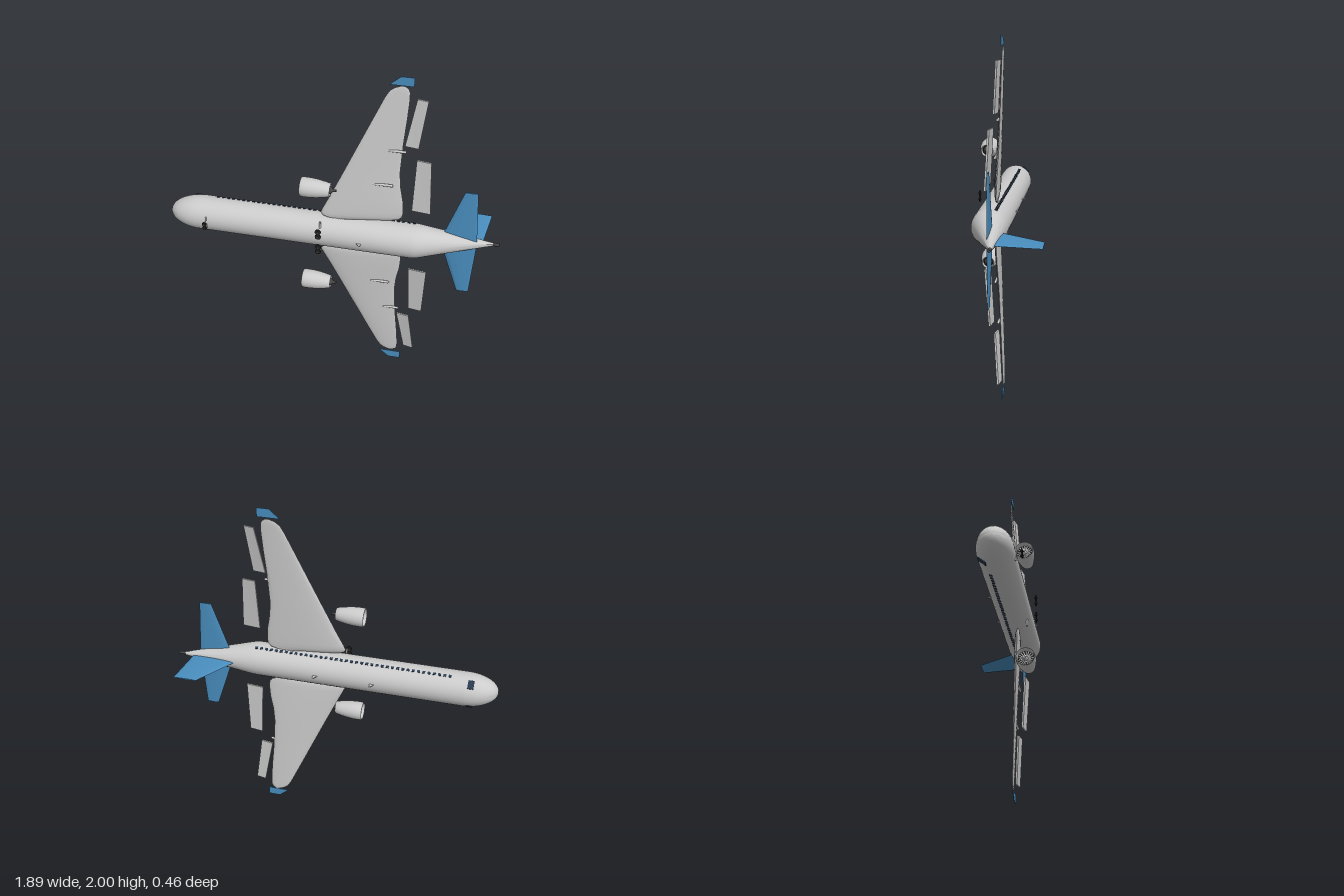
import * as THREE from 'three';
import { toCreasedNormals } from 'three/addons/utils/BufferGeometryUtils.js';

const mat = (color) => new THREE.MeshStandardMaterial({ color, side: THREE.DoubleSide });
const V = (x, y, z) => new THREE.Vector3(x, y, z);
const AXIS_Z = 0.085; // fuselage centre line; the belly faces +z, the roof -z

// Skin a list of equal-length rings and close both ends, facing outwards
function loft(rings, crease = 0.7) {
  const n = rings[0].length, pts = rings.flat(), idx = [];
  for (let i = 0; i < rings.length - 1; i++)
    for (let j = 0; j < n; j++) {
      const a = i * n + j, b = i * n + (j + 1) % n;
      idx.push(a, b, a + n, b, b + n, a + n);
    }
  [rings[0], rings[rings.length - 1]].forEach((ring, end) => {
    const c = pts.length, base = end ? (rings.length - 1) * n : 0;
    pts.push(ring.reduce((s, p) => s.add(p), V(0, 0, 0)).divideScalar(n));
    for (let j = 0; j < n; j++) {
      const a = base + j, b = base + (j + 1) % n;
      if (end) idx.push(c, a, b); else idx.push(c, b, a);
    }
  });
  let volume = 0;
  for (let i = 0; i < idx.length; i += 3)
    volume += pts[idx[i]].dot(V(0, 0, 0).crossVectors(pts[idx[i + 1]], pts[idx[i + 2]]));
  if (volume < 0) idx.reverse();
  const geo = new THREE.BufferGeometry().setFromPoints(pts);
  geo.setIndex(idx);
  return toCreasedNormals(geo, crease);
}

// Cross-section from leading to trailing edge, thick along the given axis
function foil(le, te, axis, thick, n = 24) {
  return Array.from({ length: n }, (_, i) => {
    const a = i / n * Math.PI * 2, u = (1 - Math.cos(a)) / 2;
    return le.clone().lerp(te, u).addScaledVector(axis, thick / 2 * Math.sin(a) * (1.25 - 0.5 * u));
  });
}
const slab = (le, te, axis, t) => [[le, 1], [te, 1], [te, -1], [le, -1]]
  .map(([p, s]) => p.clone().addScaledVector(axis, s * t / 2));

export function createModel() {
  const model = new THREE.Group();
  model.name = 'airliner';
  const plane = new THREE.Group(); // span runs along y, nose points to -x
  plane.name = 'aircraft';
  plane.position.y = 1;
  model.add(plane);

  const grey = mat(0xcccccc), blue = mat(0x4a8fc0), dark = mat(0x444444);
  const glass = mat(0x2a3a50), tyre = mat(0x222222);
  const add = (name, geo, material, parent = plane) => {
    const m = new THREE.Mesh(geo, material);
    m.name = name;
    parent.add(m);
    return m;
  };
  const DOWN = V(0, 0, 1), SPAN = V(0, 1, 0);

  // Fuselage: rounded nose, straight cabin, tail cone swept up
  const stations = [];
  for (let i = 0; i <= 12; i++) {
    const a = Math.max(i / 12, 0.01) * Math.PI / 2;
    stations.push([-0.76 - 0.19 * Math.cos(a), 0.1 * Math.sin(a), AXIS_Z + 0.008 * Math.cos(a)]);
  }
  stations.push([-0.3, 0.1, AXIS_Z], [0.1, 0.1, AXIS_Z], [0.46, 0.1, AXIS_Z], [0.49, 0.098, 0.084],
    [0.53, 0.09, 0.078], [0.64, 0.067, 0.061], [0.78, 0.037, 0.04], [0.91, 0.009, 0.022]);
  add('fuselage', loft(stations.map(([x, r, z]) => Array.from({ length: 40 }, (_, j) => {
    const a = j / 40 * Math.PI * 2;
    return V(x, r * Math.cos(a), z + r * Math.sin(a));
  }))), grey);
  const tip = add('tailExhaust', new THREE.CylinderGeometry(0.008, 0.01, 0.04, 16).rotateZ(-Math.PI / 2), dark);
  tip.position.set(0.925, 0, 0.022);

  // Vertical fin
  add('fin', loft([[0.57, 0.85, 0.03, 0.018], [0.745, 0.88, -0.235, 0.008]]
    .map(([a, b, z, t]) => foil(V(a, 0, z), V(b, 0, z), SPAN, t))), blue);

  // Wing stations: span, leading x, trailing x, thickness
  const wingRows = [[0.098, 0.05, 0.28, 0.004], [0.103, -0.02, 0.34, 0.018], [0.112, -0.045, 0.375, 0.028],
    [0.13, -0.058, 0.393, 0.034], [0.16, -0.046, 0.4, 0.036], [0.24, -0.008, 0.394, 0.034],
    [0.33, 0.032, 0.377, 0.032], [0.42, 0.072, 0.37, 0.028], [0.6, 0.151, 0.379, 0.022],
    [0.75, 0.217, 0.392, 0.016], [0.87, 0.27, 0.4, 0.011], [0.91, 0.293, 0.399, 0.009],
    [0.93, 0.318, 0.39, 0.007], [0.942, 0.348, 0.372, 0.003]];
  // Slotted flaps: root span, lead, trail, z, then the same at the outer end
  const flaps = [['innerFlap', [0.21, 0.45, 0.555, 0.092], [0.53, 0.46, 0.54, 0.072]],
    ['outerFlap', [0.6, 0.39, 0.465, 0.055], [0.88, 0.44, 0.5, 0.035]]];

  for (const s of [1, -1]) {
    const side = s > 0 ? 'upper' : 'lower';
    const half = new THREE.Group();
    half.name = side + 'Half';
    plane.add(half);

    add('wing', loft(wingRows.map(([y, a, b, t]) => foil(
      V(a, s * y, 0.108 - 0.1 * (y - 0.1)), V(b, s * y, 0.06 - 0.045 * (y - 0.1)), DOWN, t, 32)), 1), grey, half);
    for (const [name, ...ends] of flaps)
      add(name, loft(ends.map(([y, a, b, z]) => slab(V(a, s * y, z - 0.006), V(b, s * y, z + 0.006), DOWN, 0.01)), 0.3), grey, half);
    add('wingtipFence', loft([[0.948, 0.29, 0.42], [1, 0.35, 0.42]]
      .map(([y, a, b]) => slab(V(a, s * y, 0.028), V(b, s * y, 0.028), DOWN, 0.004)), 0.3), blue, half);
    add('tailplane', loft([[0.02, 0.62, 0.82, 0.014], [0.35, 0.73, 0.8, 0.007]]
      .map(([y, a, b, t]) => foil(V(a, s * y, 0.05), V(b, s * y, 0.05), DOWN, t))), blue, half);

    // Flap track fairings under the wing
    for (const [x, y, z, len] of [[0.275, 0.347, 0.073, 0.13], [0.345, 0.56, 0.05, 0.11]]) {
      const f = add('flapFairing', new THREE.CapsuleGeometry(0.0075, len - 0.015, 6, 12).rotateZ(Math.PI / 2), grey, half);
      f.position.set(x, s * y, z);
    }

    // Engine: open nacelle, fan, spinner and exhaust plug
    const engine = new THREE.Group();
    engine.name = 'engine';
    engine.position.set(0, s * 0.33, 0.16);
    half.add(engine);
    const lathe = (name, pts, m) => add(name, new THREE.LatheGeometry(
      pts.map(([r, h]) => new THREE.Vector2(r, h)), 36).rotateZ(-Math.PI / 2), m, engine);
    lathe('nacelle', [[0.028, -0.02], [0.031, 0.01], [0.037, 0.012], [0.044, -0.02], [0.051, -0.06], [0.055, -0.1],
      [0.0555, -0.135], [0.053, -0.153], [0.05, -0.155], [0.047, -0.148], [0.046, -0.11]], grey);
    lathe('fanBackplate', [[0, -0.112], [0.046, -0.112]], tyre);
    lathe('spinner', [[0.014, -0.114], [0.01, -0.128], [0, -0.138]], grey);
    lathe('exhaustBackplate', [[0, -0.01], [0.03, -0.01]], tyre);
    lathe('exhaustPlug', [[0.024, -0.01], [0.02, 0.015], [0.008, 0.025], [0.007, 0.043], [0, 0.043]], dark);
    for (let i = 0; i < 18; i++) {
      const a = i / 18 * Math.PI * 2;
      const blade = add('fanBlade', new THREE.BoxGeometry(0.002, 0.034, 0.007).rotateY(0.5).translate(0, 0.029, 0), grey, engine);
      blade.position.x = -0.118;
      blade.rotation.x = a;
    }

    // Cabin windows and cockpit window
    const pane = (name, x, z, r, w, h) => {
      const a = Math.asin((z - AXIS_Z) / r);
      const p = add(name, new THREE.BoxGeometry(w, 0.006, h), glass, half);
      p.position.set(x, s * (r - 0.001) * Math.cos(a), z);
      p.rotation.x = s * a;
    };
    for (let i = 0; i < 39; i++) pane('cabinWindow', -0.675 + i * 0.03, 0.05, 0.1, 0.016, 0.016);
    pane('cockpitWindow', -0.797, 0.022, 0.098, 0.034, 0.05);

    // Main landing gear leg
    const leg = add('mainGearLeg', new THREE.CylinderGeometry(0.006, 0.006, 0.065, 12), grey, half);
    leg.position.set(-0.05, s * 0.07, 0.16);
  }

  // Wheels: thin tyres on short hubs
  const wheel = (x, y, z, r) => {
    const t = add('tyre', new THREE.CylinderGeometry(r, r, 0.007, 24).rotateX(Math.PI / 2), tyre);
    const h = add('wheelHub', new THREE.CylinderGeometry(r * 0.35, r * 0.35, 0.018, 12).rotateX(Math.PI / 2), dark);
    for (const m of [t, h]) m.position.set(x, y, z);
  };
  for (const y of [-0.069, -0.036, 0.036, 0.069]) wheel(-0.05, y, 0.213, 0.017);
  for (const y of [-0.013, 0.013]) wheel(-0.715, y, 0.215, 0.013);
  const noseLeg = add('noseGearLeg', new THREE.CylinderGeometry(0.005, 0.005, 0.075, 12), grey);
  noseLeg.position.set(-0.715, 0, 0.182);

  // Blade antennas on roof and belly
  for (const [x, z, d] of [[-0.24, -0.012, -1], [0.095, -0.012, -1], [0.175, 0.182, 1]])
    add('antenna', loft([[-0.015, 0.015, 0, 0.006], [0.006, 0.01, 0.03, 0.002]]
      .map(([a, b, h, t]) => slab(V(x + a, 0, z + d * h * (d > 0 ? 0.7 : 1)), V(x + b, 0, z + d * h * (d > 0 ? 0.7 : 1)), SPAN, t)), 0.3), grey);

  return model;
}
